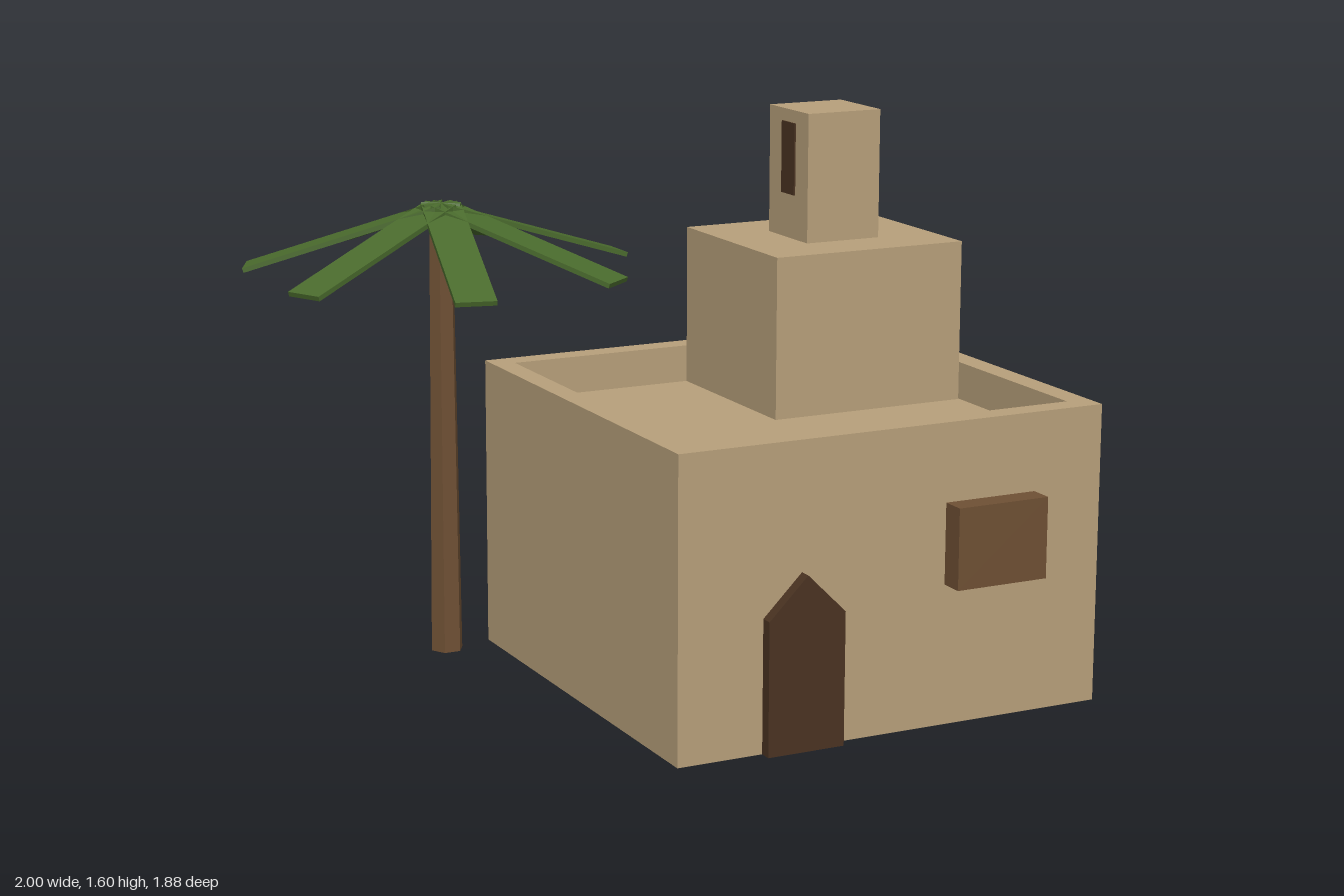
import * as THREE from 'three';

const mat = (name, color) => {
  const m = new THREE.MeshStandardMaterial({ color, flatShading: true });
  m.name = name;
  return m;
};

export function createModel() {
  const root = new THREE.Group();
  root.name = 'desertHouse';
  const clay = mat('clay', 0xb8a07b);
  const darkWood = mat('darkWood', 0x4a3322);
  const wood = mat('wood', 0x6f5034);
  const leaf = mat('leaf', 0x4a6b2d);

  const add = (name, geo, material, parent = root) => {
    const mesh = new THREE.Mesh(geo, material);
    mesh.name = name;
    parent.add(mesh);
    return mesh;
  };
  // Box given by its limits on each axis
  const box = (name, [x0, x1], [y0, y1], [z0, z1], material) =>
    add(name, new THREE.BoxGeometry(x1 - x0, y1 - y0, z1 - z0), material)
      .position.set((x0 + x1) / 2, (y0 + y1) / 2, (z0 + z1) / 2);
  const rect = (path, x0, x1, z0, z1) =>
    path.moveTo(x0, -z1).lineTo(x1, -z1).lineTo(x1, -z0).lineTo(x0, -z0).closePath();

  // Outer walls with parapet around a sunken roof
  const ring = rect(new THREE.Shape(), -0.315, 1, -0.4, 0.87);
  ring.holes.push(rect(new THREE.Path(), -0.25, 0.93, -0.33, 0.8));
  const walls = new THREE.ExtrudeGeometry(ring, { depth: 0.86, bevelEnabled: false });
  walls.rotateX(-Math.PI / 2);
  add('walls', walls, clay);
  box('roof', [-0.25, 0.93], [0, 0.75], [-0.33, 0.8], clay);

  // Upper storey and tower
  box('upperStorey', [0.315, 0.926], [0.75, 1.222], [-0.329, 0.237], clay);
  box('tower', [0.502, 0.74], [1.222, 1.6], [-0.16, 0.073], clay);
  box('towerWindowLeft', [0.738, 0.745], [1.352, 1.563], [-0.079, -0.002], darkWood);
  box('towerWindowRight', [0.497, 0.504], [1.352, 1.563], [-0.079, -0.002], darkWood);

  // Pointed door
  const arch = new THREE.Shape();
  arch.moveTo(-0.06, 0).lineTo(0.172, 0).lineTo(0.172, 0.38)
    .lineTo(0.056, 0.495).lineTo(-0.06, 0.38).closePath();
  add('door', new THREE.ExtrudeGeometry(arch, { depth: 0.035, bevelEnabled: false }), darkWood)
    .position.z = 0.87;

  // Projecting shutter
  box('shutter', [0.502, 0.785], [0.403, 0.635], [0.87, 0.94], wood);

  // Palm tree
  const palm = new THREE.Group();
  palm.name = 'palm';
  palm.position.set(-0.46, 0, -0.374);
  root.add(palm);
  const trunk = new THREE.CylinderGeometry(0.036, 0.049, 1.325, 6);
  trunk.rotateY(Math.PI / 6).translate(0, 1.325 / 2, 0);
  add('trunk', trunk, wood, palm);

  // Drooping fronds
  const frond = new THREE.BoxGeometry(0.6, 0.014, 0.117);
  frond.translate(0.3, -0.007, 0).rotateZ(-0.307).translate(0, 1.345, 0);
  for (let i = 0; i < 7; i++) {
    add('frond' + (i + 1), frond, leaf, palm).rotation.y = (i * Math.PI * 2) / 7;
  }
  return root;
}
